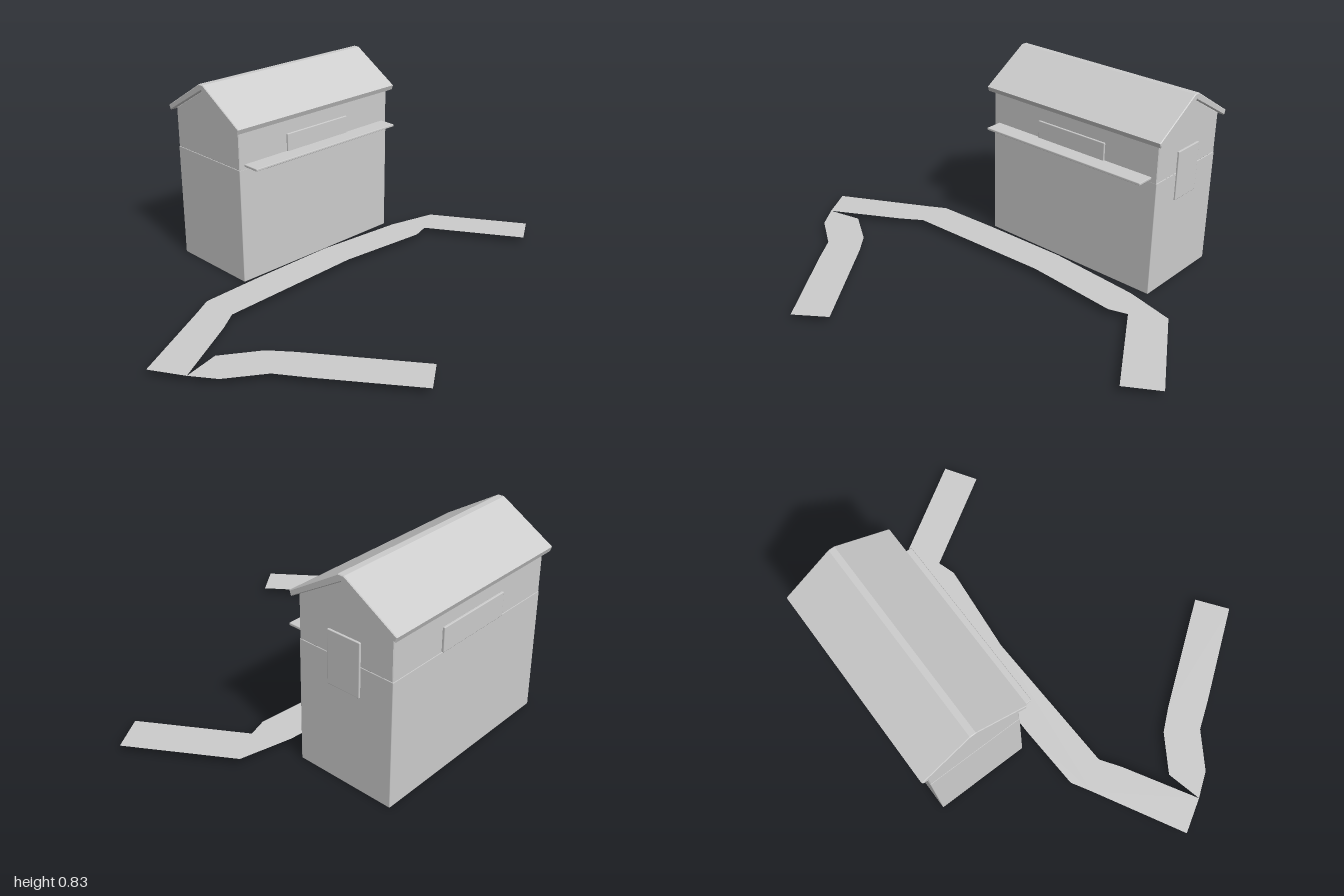
import * as THREE from 'three';
import { RoundedBoxGeometry } from 'three/addons/geometries/RoundedBoxGeometry.js';

export function createModel() {
  const model = new THREE.Group();
  const grey = new THREE.MeshStandardMaterial({ color: 0xcccccc });
  grey.name = 'plain grey';
  grey.side = THREE.DoubleSide;
  const bevel = 0.003;

  const add = (name, geometry) => {
    const mesh = new THREE.Mesh(geometry, grey);
    mesh.name = name;
    model.add(mesh);
    return mesh;
  };

  // Slightly softened box given by its low and high limits on each axis
  const box = (name, [x0, x1], [y0, y1], [z0, z1]) => {
    const g = new RoundedBoxGeometry(x1 - x0, y1 - y0, z1 - z0, 1, bevel);
    g.translate((x0 + x1) / 2, (y0 + y1) / 2, (z0 + z1) / 2);
    return add(name, g);
  };

  const shapeOf = (points) => new THREE.Shape(points.map(([a, b]) => new THREE.Vector2(a, b)));

  // Cross-section (distance from ridge line, height) swept along x
  const ridgeZ = -0.547;
  const sweep = (name, points, x0, x1) => {
    const g = new THREE.ExtrudeGeometry(shapeOf(points), {
      depth: x1 - x0 - 2 * bevel,
      bevelThickness: bevel, bevelSize: bevel, bevelOffset: -bevel, bevelSegments: 1,
    });
    g.rotateY(Math.PI / 2);
    g.translate(x0 + bevel, 0, ridgeZ);
    return add(name, g);
  };

  // Walls: solid base and gabled upper storey
  const front = -0.338, back = -0.757, half = (front - back) / 2 - 0.001;
  box('lowerWalls', [-0.291, 0.568], [0.002, 0.511], [back, front]);
  sweep('upperWalls', [
    [-half, 0.509], [half, 0.509], [half, 0.687], [0, 0.811], [-half, 0.687],
  ], -0.29, 0.567);

  // Pitched roof slab with a narrow flat ridge
  sweep('roof', [
    [-0.228, 0.675], [0, 0.809], [0.228, 0.675], [0.236, 0.696],
    [0.013, 0.834], [-0.013, 0.834], [-0.236, 0.696],
  ], -0.31, 0.587);

  // Counter shelf and raised window panels
  box('counter', [-0.264, 0.541], [0.521, 0.532], [front - 0.003, -0.261]);
  box('frontWindow', [-0.035, 0.312], [0.512, 0.609], [front - 0.004, front + 0.007]);
  box('backWindow', [-0.035, 0.312], [0.512, 0.609], [back - 0.008, back + 0.003]);
  box('sideWindow', [0.56, 0.575], [0.39, 0.605], [-0.618, -0.473]);

  // Thin flat paths just above the ground, outlined as (x, z)
  const path = (name, points) => {
    const g = new THREE.ShapeGeometry(shapeOf(points.map(([x, z]) => [x, -z])));
    g.rotateX(-Math.PI / 2);
    g.translate(0, 0.033, 0);
    return add(name, g);
  };
  path('mainPath', [
    [-1, -0.017], [-0.92, 0.118], [-0.62, -0.055], [-0.535, -0.113], [0.13, -0.138],
    [0.54, -0.101], [0.62, -0.126], [0.865, 0.264], [1, 0.179], [0.755, -0.208],
    [0.54, -0.258], [0.13, -0.292], [-0.265, -0.283], [-0.54, -0.27], [-0.62, -0.224],
  ]);
  path('branchPath', [
    [-0.92, 0.118], [-0.85, 0.215], [-0.697, 0.315], [-0.62, 0.425], [-0.355, 0.78],
    [-0.228, 0.687], [-0.537, 0.27], [-0.611, 0.182], [-0.767, 0.082],
  ]);

  return model;
}
